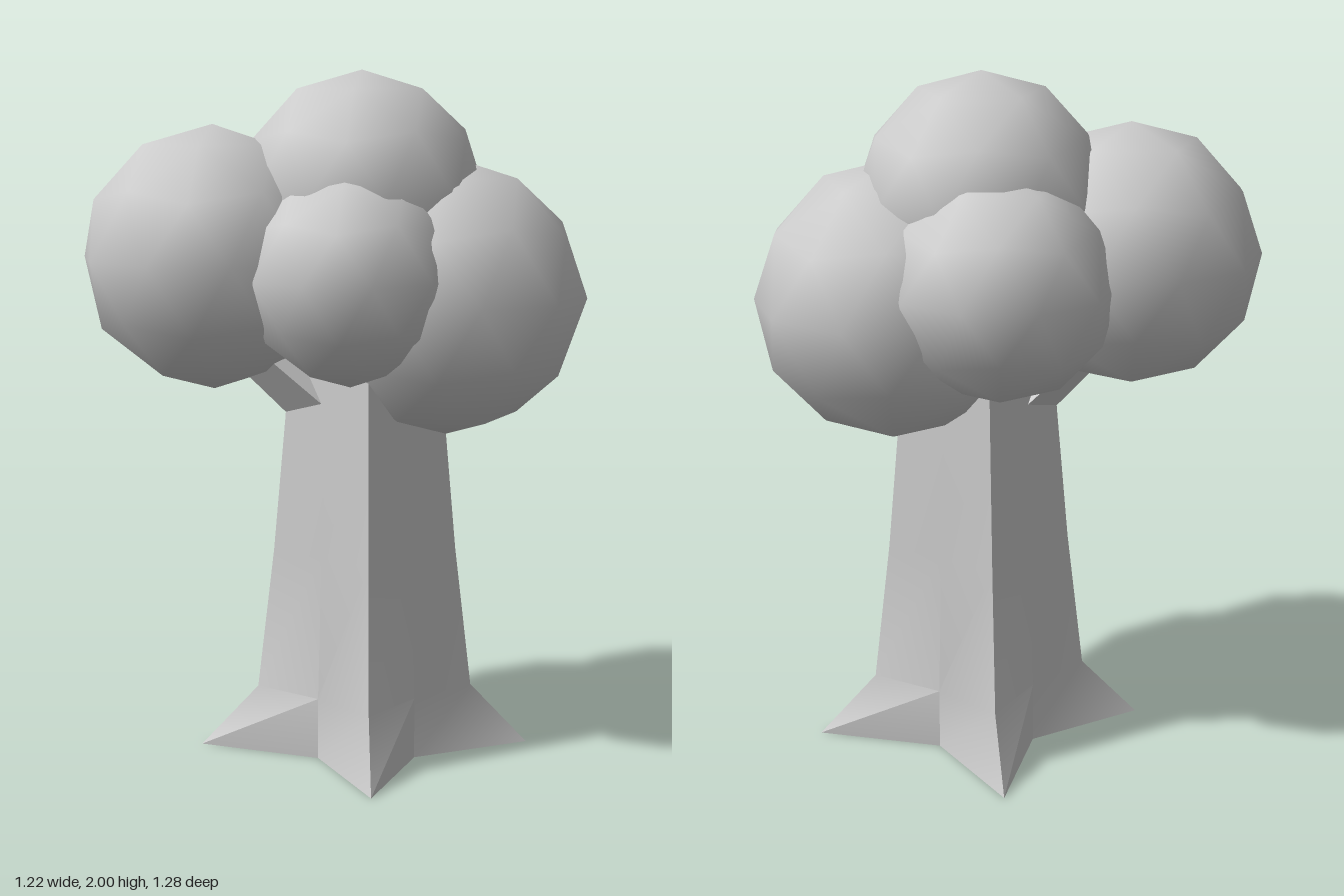
import * as THREE from 'three';
import { toCreasedNormals } from 'three/addons/utils/BufferGeometryUtils.js';

const material = new THREE.MeshStandardMaterial({ color: 0xcccccc });

// Square trunk with flared root corners: rows of [y, corner half-width, side half-width]
function trunkGeometry(rows) {
  const pos = [], idx = [], n = 8;
  for (const [y, c, m] of rows) {
    for (let i = 0; i < n; i++) {
      const a = (i * Math.PI) / 4;
      const r = i % 2 ? c * Math.SQRT2 : m;
      pos.push(Math.cos(a) * r, y, -Math.sin(a) * r);
    }
  }
  for (let k = 0; k < rows.length - 1; k++) {
    for (let i = 0; i < n; i++) {
      const a = k * n + i, b = k * n + ((i + 1) % n);
      idx.push(a, b, b + n, a, b + n, a + n);
    }
  }
  // End caps
  const last = (rows.length - 1) * n, bottom = pos.length / 3, top = bottom + 1;
  pos.push(0, rows[0][0], 0, 0, rows[rows.length - 1][0], 0);
  for (let i = 0; i < n; i++) {
    const j = (i + 1) % n;
    idx.push(bottom, j, i, top, last + i, last + j);
  }
  const g = new THREE.BufferGeometry();
  g.setAttribute('position', new THREE.Float32BufferAttribute(pos, 3));
  g.setIndex(idx);
  return toCreasedNormals(g, 0.5);
}

export function createModel() {
  const tree = new THREE.Group();
  tree.name = 'tree';
  const add = (name, geometry, x, y, z) => {
    const mesh = new THREE.Mesh(geometry, material);
    mesh.name = name;
    mesh.position.set(x, y, z);
    tree.add(mesh);
    return mesh;
  };

  add('trunk', trunkGeometry([
    [0, 0.345, 0.2],
    [0.18, 0.225, 0.2],
    [0.6, 0.19, 0.185],
    [1.0, 0.165, 0.165],
    [1.45, 0.14, 0.14],
  ]), 0.06, 0, 0.06);

  // Four-sided branch rising from the back corner into the foliage
  const branchGeometry = toCreasedNormals(
    new THREE.CylinderGeometry(0.07, 0.11, 0.55, 4).rotateX(Math.PI / 2), 0.5);
  const branch = add('branch', branchGeometry, -0.1, 1.13, -0.1);
  branch.lookAt(-0.25, 1.31, -0.25);

  // Foliage balls: low-poly icospheres with a corner straight up, smooth shaded
  const tilt = -Math.atan(2 / (1 + Math.sqrt(5)));
  const balls = [
    ['foliageTop', 0.36, 0.06, 1.64, 0.045],
    ['foliageFrontLeft', 0.405, 0.22, 1.35, 0.235],
    ['foliageBackRight', 0.383, -0.246, 1.463, -0.257],
    ['foliageFrontRight', 0.31, -0.11, 1.42, 0.16],
    ['foliageBackLeft', 0.33, 0.196, 1.435, -0.12],
  ];
  for (const [name, r, x, y, z] of balls) {
    add(name, new THREE.IcosahedronGeometry(r, 1).rotateZ(tilt), x, y, z);
  }
  return tree;
}
